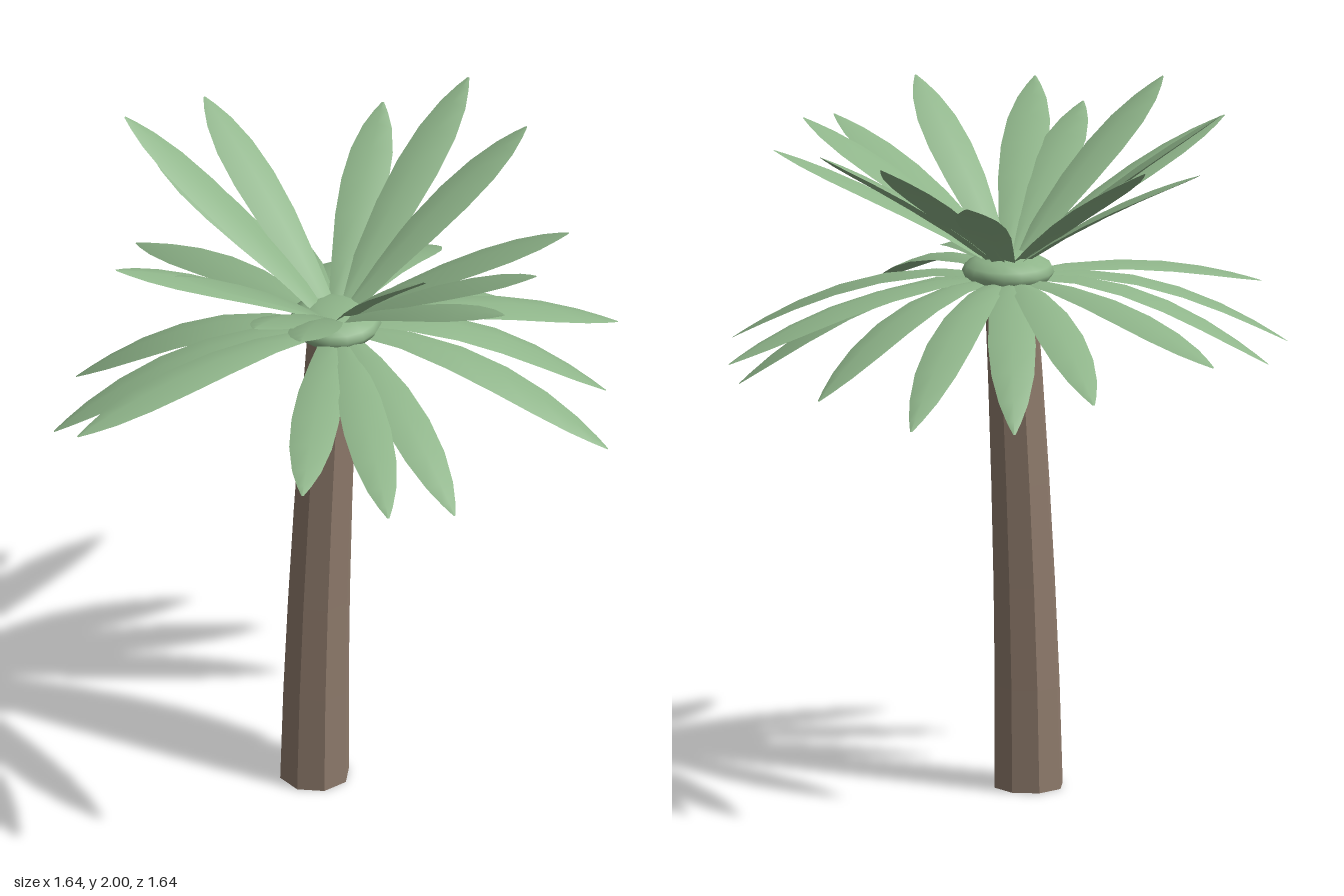
import * as THREE from 'three';
import { mergeGeometries } from 'three/addons/utils/BufferGeometryUtils.js';

const CROWN = new THREE.Vector3(-0.02, 1.49, -0.01);

// Frond outline: [position along the path, half width]
const OUTLINE = [
  [0, 0.03], [0.2, 0.046], [0.4, 0.062], [0.58, 0.067],
  [0.74, 0.06], [0.87, 0.041], [0.95, 0.02], [1, 0.003],
];

// Frond tips [x, y, z]
const LOWER = [
  [-0.015, 1.3, -0.82], [0.18, 1.2, -0.7], [0.48, 1.23, -0.69], [0.63, 1.235, -0.305],
  [0.82, 1.3, -0.075], [0.735, 1.195, 0.1], [0.64, 1.235, 0.455], [0.11, 1.29, 0.755],
  [-0.1, 1.355, 0.815], [-0.31, 1.38, 0.675], [-0.82, 1.355, 0.17], [-0.825, 1.235, -0.055],
  [-0.69, 1.24, -0.305], [-0.39, 1.36, -0.745],
];
const UPPER = [
  [0.275, 1.825, -0.56], [0.495, 1.93, -0.46], [0.59, 1.91, -0.2], [0.59, 1.825, 0.235],
  [0.43, 1.85, 0.465], [0.3, 1.82, 0.59], [0.08, 1.93, 0.53], [-0.305, 1.87, 0.64],
  [-0.395, 1.83, 0.48], [-0.575, 1.93, 0.31], [-0.695, 1.855, 0.12], [-0.515, 2.0, -0.42],
  [-0.43, 1.85, -0.49], [-0.23, 1.9, -0.61],
];

// Pointed blade along an arched path, its two sides drooping from the midrib
function frondGeometry(start, tip, lift) {
  const bend = start.clone().lerp(tip, 0.5);
  bend.y += lift;
  const path = new THREE.QuadraticBezierCurve3(start, bend, tip);
  const out = tip.clone().sub(start).setY(0).normalize();
  const side = new THREE.Vector3(0, 1, 0).cross(out);
  const positions = [], index = [];
  OUTLINE.forEach(([t, w], i) => {
    const mid = path.getPoint(t);
    const normal = path.getTangent(t).cross(side);
    for (const s of [-1, 0, 1]) {
      const v = mid.clone().addScaledVector(side, s * w).addScaledVector(normal, -0.25 * s * s * w);
      positions.push(v.x, v.y, v.z);
    }
    if (i === 0) return;
    for (const a of [i * 3 - 3, i * 3 - 2]) {
      index.push(a, a + 3, a + 1, a + 3, a + 4, a + 1);
    }
  });
  const geo = new THREE.BufferGeometry();
  geo.setAttribute('position', new THREE.Float32BufferAttribute(positions, 3));
  geo.setIndex(index);
  geo.computeVertexNormals();
  return geo;
}

// One ring of fronds starting at height y and radius r around the crown
function frondTier(tips, y, r, lift) {
  return mergeGeometries(tips.map((c) => {
    const tip = new THREE.Vector3(...c);
    const start = tip.clone().sub(CROWN).setY(0).setLength(r).add(CROWN).setY(y);
    return frondGeometry(start, tip, lift(tip.y));
  }));
}

// Eight-sided trunk, tapered and leaning in a slow curve
function trunkGeometry(height) {
  const geo = new THREE.CylinderGeometry(0.075, 0.1, height, 8, 5);
  geo.translate(0, height / 2, 0);
  const p = geo.attributes.position;
  for (let i = 0; i < p.count; i++) {
    const t = Math.max(0, p.getY(i) / height);
    p.setX(i, p.getX(i) - 0.08 + 0.055 * t ** 1.6);
    p.setZ(i, p.getZ(i) - 0.01);
  }
  geo.computeVertexNormals();
  return geo;
}

export function createModel() {
  const model = new THREE.Group();
  const bark = new THREE.MeshStandardMaterial({ color: 0x8f7b6c, flatShading: true });
  const green = new THREE.MeshStandardMaterial({ color: 0x8fb58a });
  const leaf = new THREE.MeshStandardMaterial({ color: 0x8fb58a, side: THREE.DoubleSide });

  // Flattened heart the fronds grow from
  const heart = new THREE.SphereGeometry(0.13, 16, 8);
  heart.scale(1, 0.4, 1);
  heart.translate(CROWN.x, CROWN.y, CROWN.z);

  const parts = [
    ['trunk', trunkGeometry(1.47), bark],
    ['crownHeart', heart, green],
    ['lowerFronds', frondTier(LOWER, 1.48, 0.06, (y) => 0.03 + (1.48 - y) / 2), leaf],
    ['upperFronds', frondTier(UPPER, 1.52, 0.04, () => 0.06), leaf],
  ];
  for (const [name, geometry, material] of parts) {
    const mesh = new THREE.Mesh(geometry, material);
    mesh.name = name;
    model.add(mesh);
  }
  return model;
}
